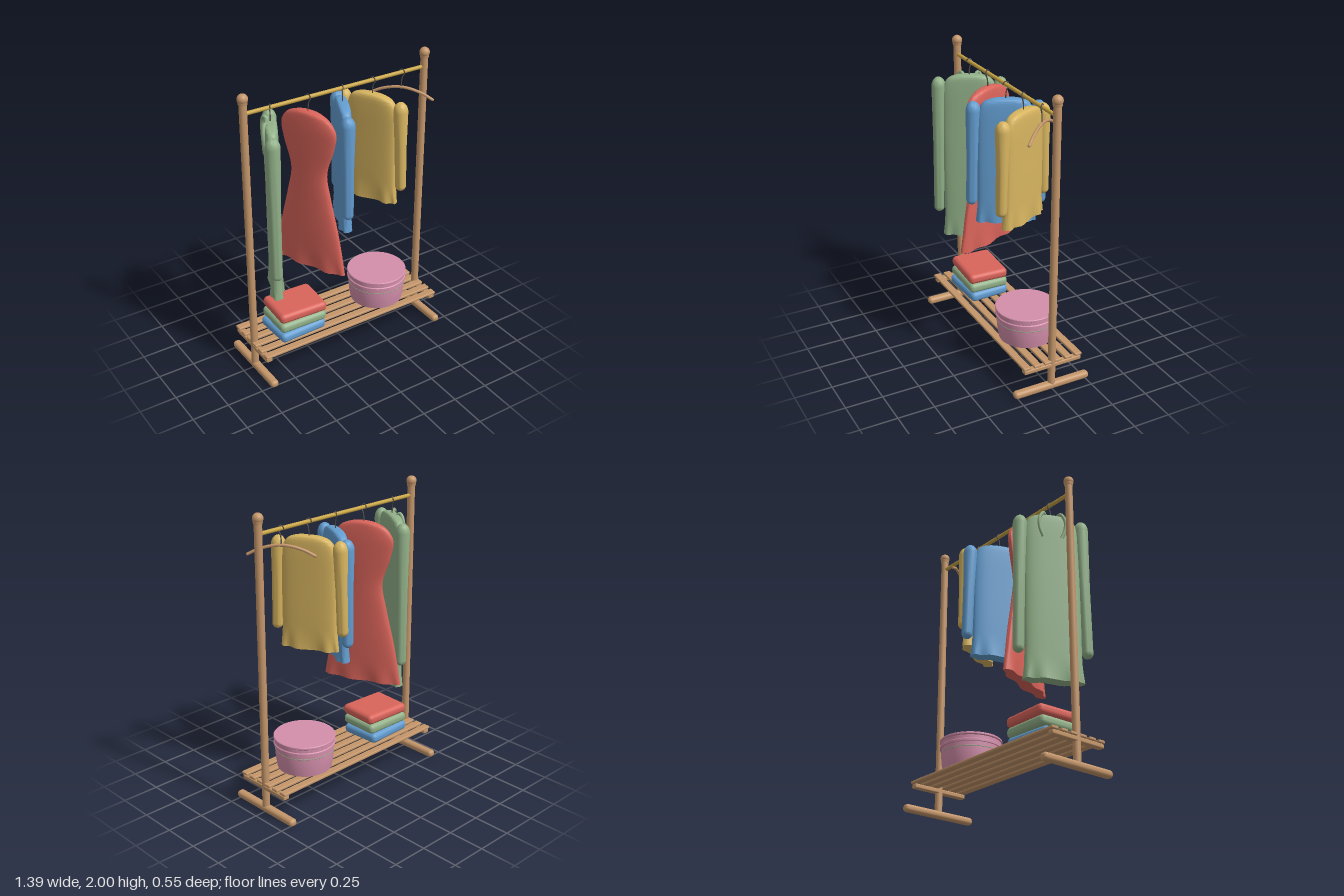
import * as THREE from 'three';
import { toCreasedNormals } from 'three/addons/utils/BufferGeometryUtils.js';
import { RoundedBoxGeometry } from 'three/addons/geometries/RoundedBoxGeometry.js';

const paint = (name, color) => {
  const m = new THREE.MeshStandardMaterial({ color });
  m.name = name;
  return m;
};
const V = (x, y, z = 0) => new THREE.Vector3(x, y, z);

export function createModel() {
  const wood = paint('wood', 0xc4966a);
  const brass = paint('brass', 0xc9a545);
  const wire = paint('dark wire', 0x55504c);
  const green = paint('sage green', 0x91b088);
  const red = paint('coral red', 0xd9645a);
  const blue = paint('sky blue', 0x639dd0);
  const yellow = paint('mustard yellow', 0xd8b560);
  const pink = paint('pink', 0xd48fab);

  const root = new THREE.Group();
  const add = (parent, name, geo, mat, x = 0, y = 0, z = 0) => {
    const m = new THREE.Mesh(geo, mat);
    m.name = name;
    m.position.set(x, y, z);
    parent.add(m);
    return m;
  };
  const tube = (points, r, n = 24) =>
    new THREE.TubeGeometry(new THREE.CatmullRomCurve3(points), n, r, 8);
  const lathe = (pts, n = 32) =>
    toCreasedNormals(new THREE.LatheGeometry(pts.map(p => new THREE.Vector2(...p)), n), 0.7);

  // Frame: feet, posts, finials and shelf bearers on both sides
  for (const s of [-1, 1]) {
    const x = s * 0.66;
    add(root, 'foot', new RoundedBoxGeometry(0.056, 0.05, 0.545, 4, 0.022), wood, x, 0.03, 0);
    add(root, 'post', new THREE.CylinderGeometry(0.025, 0.025, 1.9, 20), wood, x, 0.99, 0);
    add(root, 'finialCollar', new THREE.CylinderGeometry(0.031, 0.028, 0.022, 20), wood, x, 1.943, 0);
    add(root, 'finial', new THREE.SphereGeometry(0.034, 20, 14), wood, x, 1.966, 0);
    add(root, 'shelfBearer', new RoundedBoxGeometry(0.045, 0.03, 0.41, 2, 0.008), wood, x, 0.188, 0);
  }
  const rail = add(root, 'rail', new THREE.CylinderGeometry(0.013, 0.013, 1.3, 16), brass, 0, 1.87, 0);
  rail.rotation.z = Math.PI / 2;

  // Shelf slats
  for (let i = 0; i < 6; i++)
    add(root, 'shelfSlat', new RoundedBoxGeometry(1.37, 0.02, 0.052, 2, 0.007), wood, 0, 0.215, (i - 2.5) * 0.0745);

  // Garment body lofted from [y, half width, half depth], with folds growing near the hem
  const bodyGeometry = (rows, power, flare) => {
    const N = 48, M = 44, pos = [], idx = [];
    const curve = new THREE.CatmullRomCurve3(rows.map(r => V(...r)), false, 'centripetal');
    const hem = rows[rows.length - 1][0];
    const c = (v) => Math.sign(v) * Math.abs(v) ** power;
    for (let j = 0; j <= M; j++) {
      const p = curve.getPoint(j / M);
      const k = Math.max(0, 1 - (p.x - hem) / 0.16) ** 2;
      for (let i = 0; i < N; i++) {
        const t = (i / N) * Math.PI * 2;
        const fold = k * flare * Math.sin(t * 8);
        pos.push(p.y * c(Math.cos(t)), p.x, (p.z + fold) * c(Math.sin(t)));
      }
    }
    const top = pos.length / 3, bottom = top + 1;
    pos.push(0, rows[0][0], 0, 0, hem, 0);
    for (let i = 0; i < N; i++) {
      const n = (i + 1) % N, last = M * N;
      for (let j = 0; j < M; j++) {
        const a = j * N + i, b = j * N + n;
        idx.push(a, b, a + N, b, b + N, a + N);
      }
      idx.push(top, n, i, bottom, last + i, last + n);
    }
    const g = new THREE.BufferGeometry();
    g.setAttribute('position', new THREE.Float32BufferAttribute(pos, 3));
    g.setIndex(idx);
    return toCreasedNormals(g, 1.0);
  };

  // Hanger group with its wire hook looped over the rail
  const hanger = (name, x, degrees) => {
    const g = new THREE.Group();
    g.name = name;
    g.position.x = x;
    g.rotation.y = THREE.MathUtils.degToRad(degrees);
    root.add(g);
    add(g, 'hook', tube([V(0, 1.755), V(0, 1.81), V(0.006, 1.84), V(0.018, 1.862),
      V(0.013, 1.882), V(0, 1.889), V(-0.013, 1.882), V(-0.018, 1.866)], 0.004, 32), wire);
    return g;
  };

  // Long-sleeved garment: body and two tapered round-ended sleeves
  const sleeved = (name, mat, x, degrees, hem, cuff) => {
    const g = hanger(name, x, degrees);
    add(g, 'body', bodyGeometry([
      [1.782, 0.03, 0.016], [1.776, 0.09, 0.032], [1.752, 0.145, 0.04], [1.69, 0.175, 0.043],
      [1.5, 0.182, 0.043], [(1.5 + hem) / 2, 0.183, 0.043], [hem + 0.12, 0.184, 0.042], [hem, 0.196, 0.042],
    ], 0.65, 0.012), mat);
    const profile = [], len = 1.765 - cuff;
    for (let i = 0; i <= 8; i++) {
      const t = (i / 8 - 1) * Math.PI / 2;
      profile.push([0.036 * Math.cos(t), 0.036 + 0.036 * Math.sin(t)]);
    }
    profile.push([0.038, len * 0.5]);
    for (let i = 0; i <= 8; i++) {
      const t = (i / 8) * Math.PI / 2;
      profile.push([0.047 * Math.cos(t), len - 0.065 + 0.065 * Math.sin(t)]);
    }
    profile[0][0] = profile[profile.length - 1][0] = 0;
    for (const s of [-1, 1]) {
      const sleeve = add(g, 'sleeve', lathe(profile, 24), mat, s * 0.222, cuff, 0);
      sleeve.rotation.z = s * 0.018 / len;
    }
    return g;
  };

  const coat = sleeved('greenCoat', green, -0.48, 63, 0.61, 0.785);
  for (const s of [-1, 1])
    add(coat, 'lapel', tube([V(s * 0.035, 1.765, -0.01), V(s * 0.055, 1.787, -0.035),
      V(s * 0.085, 1.74, -0.048), V(s * 0.085, 1.67, -0.047), V(s * 0.06, 1.6, -0.044)], 0.012), green);
  sleeved('blueShirt', blue, 0.035, 66, 0.94, 1.06);
  sleeved('yellowJumper', yellow, 0.26, -65, 1.04, 1.145);

  // Sleeveless dress with a narrow waist and a flared skirt
  const dress = hanger('redDress', -0.215, -68);
  add(dress, 'body', bodyGeometry([
    [1.782, 0.03, 0.016], [1.772, 0.09, 0.032], [1.74, 0.16, 0.038], [1.67, 0.205, 0.042],
    [1.56, 0.19, 0.042], [1.37, 0.135, 0.04], [1.2, 0.165, 0.042], [0.95, 0.225, 0.046], [0.68, 0.275, 0.044],
  ], 0.9, 0.012), red);

  // Empty hanger with a curved arm
  const bare = hanger('bareHanger', 0.485, -50);
  add(bare, 'arm', tube([V(-0.205, 1.705), V(-0.14, 1.738), V(-0.06, 1.761), V(0, 1.767),
    V(0.06, 1.761), V(0.14, 1.738), V(0.205, 1.705)], 0.01), wood);
  for (const s of [-1, 1])
    add(bare, 'armTip', new THREE.SphereGeometry(0.01, 10, 8), wood, s * 0.205, 1.705, 0);

  // Folded stack
  [[blue, -0.36, 0.26, 0.04], [green, -0.352, 0.332, -0.02], [red, -0.347, 0.404, -0.05]].forEach(([mat, x, y, turn]) => {
    const f = add(root, 'foldedCloth', new RoundedBoxGeometry(0.345, 0.07, 0.285, 5, 0.03), mat, x, y, 0.008);
    f.rotation.y = turn;
  });

  // Round box with a lid and a thin trim line
  const box = new THREE.Group();
  box.name = 'roundBox';
  box.position.set(0.32, 0.225, 0);
  root.add(box);
  add(box, 'boxBody', lathe([[0, 0], [0.18, 0], [0.188, 0.05], [0.193, 0.1], [0.194, 0.165], [0, 0.165]], 48), pink);
  add(box, 'lid', lathe([[0, 0.16], [0.203, 0.16], [0.203, 0.175], [0.197, 0.18], [0.197, 0.202],
    [0.204, 0.207], [0.204, 0.217], [0.2, 0.221], [0, 0.221]], 48), pink);
  const trim = add(box, 'trim', new THREE.TorusGeometry(0.1925, 0.003, 6, 48), green, 0, 0.13, 0);
  trim.rotation.x = Math.PI / 2;

  return root;
}
